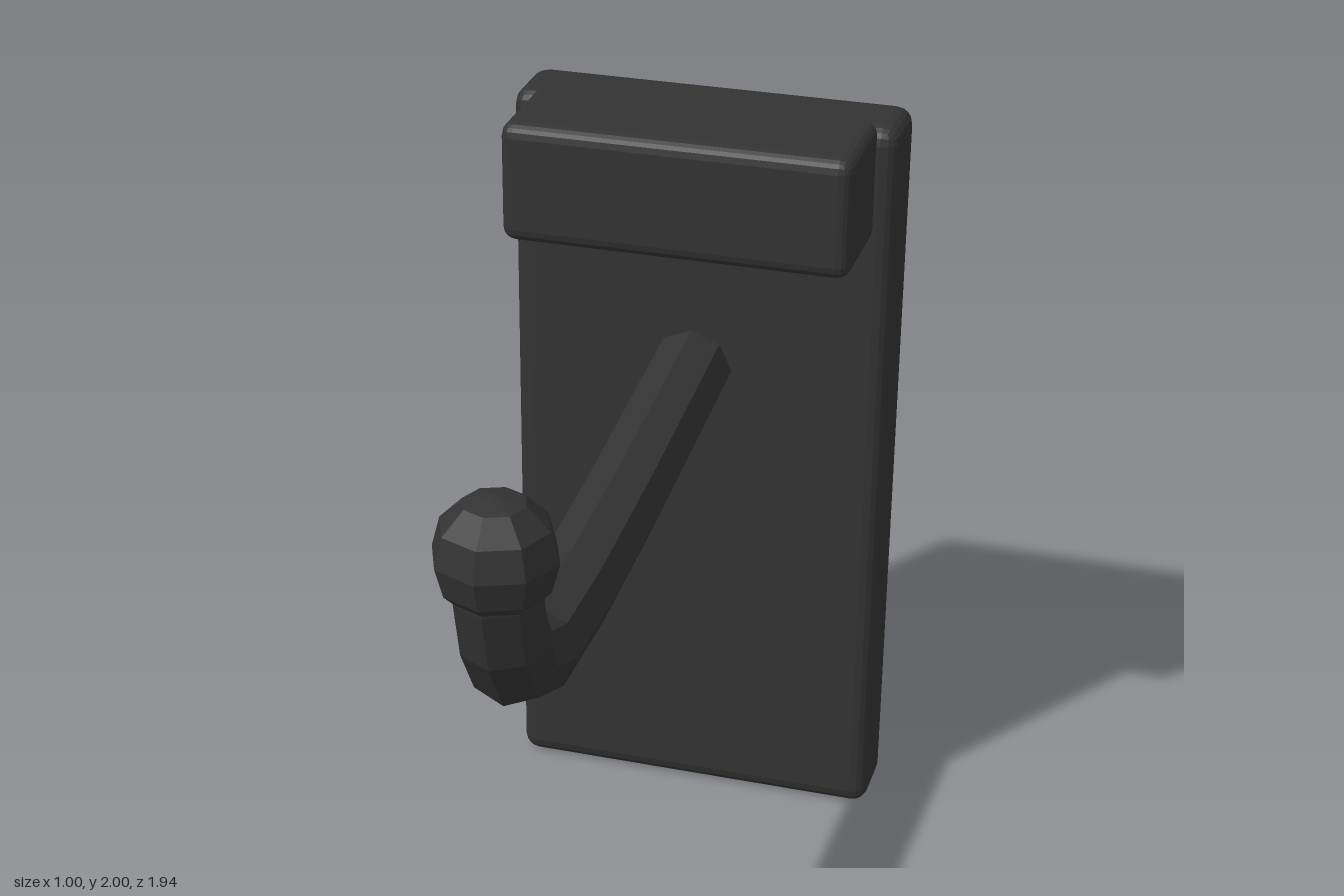
import * as THREE from 'three';
import { RoundedBoxGeometry } from 'three/addons/geometries/RoundedBoxGeometry.js';

const SIDES = 8;

// Sweeps an octagon along [z, y] points, mitring each joint, with closed ends.
function sweepArm(points, radius) {
  const pos = [], index = [];
  const pts = points.map(([z, y]) => new THREE.Vector2(z, y));
  pts.forEach((p, i) => {
    const a = pts[Math.max(i - 1, 0)], b = pts[Math.min(i + 1, pts.length - 1)];
    const before = p.clone().sub(a).normalize(), after = b.clone().sub(p).normalize();
    const t = before.add(after).normalize();
    for (let s = 0; s < SIDES; s++) {
      const ang = (s / SIDES) * Math.PI * 2;
      const out = radius * Math.sin(ang);
      pos.push(radius * Math.cos(ang), p.y + t.x * out, p.x - t.y * out);
    }
  });
  for (let i = 0; i < pts.length - 1; i++) {
    for (let s = 0; s < SIDES; s++) {
      const a = i * SIDES + s, b = i * SIDES + ((s + 1) % SIDES);
      index.push(a, b, b + SIDES, a, b + SIDES, a + SIDES);
    }
  }
  const last = (pts.length - 1) * SIDES;
  for (let s = 1; s < SIDES - 1; s++) {
    index.push(0, s + 1, s, last, last + s, last + s + 1);
  }
  const geo = new THREE.BufferGeometry();
  geo.setAttribute('position', new THREE.Float32BufferAttribute(pos, 3));
  geo.setIndex(index);
  geo.computeVertexNormals();
  return geo;
}

export function createModel() {
  const model = new THREE.Group();
  model.name = 'wallHook';
  const black = new THREE.MeshStandardMaterial({ color: 0x333333, flatShading: true });
  black.name = 'matteBlack';

  const add = (name, geometry, x, y, z) => {
    const mesh = new THREE.Mesh(geometry, black);
    mesh.name = name;
    mesh.position.set(x, y, z);
    model.add(mesh);
    return mesh;
  };

  // Wall plate and the block across its top
  add('backPlate', new RoundedBoxGeometry(1, 1.985, 0.21, 2, 0.045), 0, 0.9975, -0.867);
  add('topBlock', new RoundedBoxGeometry(0.89, 0.31, 0.31, 2, 0.035), 0, 1.845, -0.655);

  // Curved arm ending inside the ball
  add('hookArm', sweepArm([
    [-0.71, 1.315], [-0.08, 1.24], [0.31, 1.207], [0.59, 1.207],
    [0.735, 1.265], [0.795, 1.365], [0.825, 1.49], [0.83, 1.56],
  ], 0.105), 0, 0, 0);

  // Rounded tip
  add('hookBall', new THREE.SphereGeometry(0.143, SIDES, 6), 0, 1.578, 0.83);

  return model;
}
